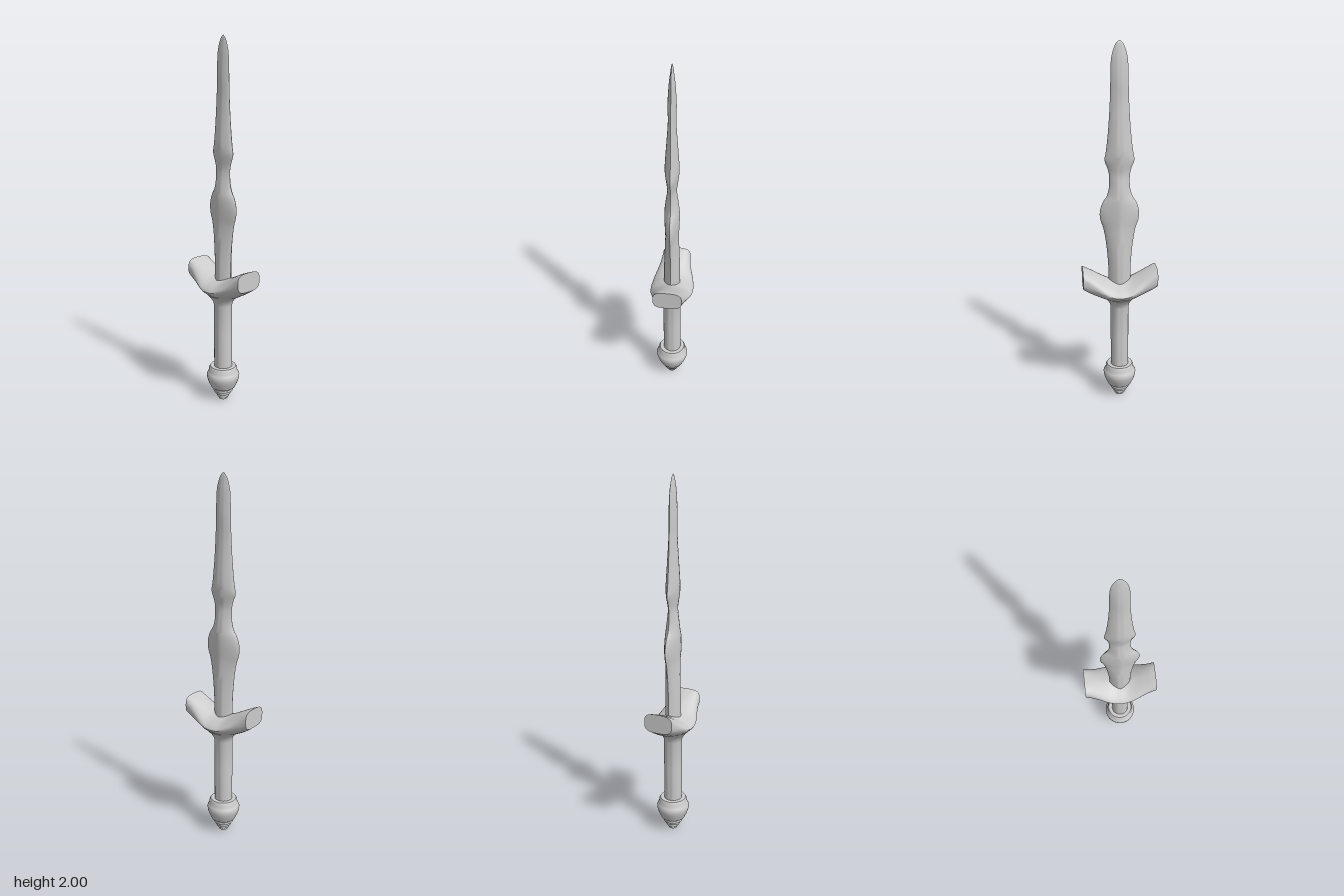
import * as THREE from 'three';
import { toCreasedNormals } from 'three/addons/utils/BufferGeometryUtils.js';

const material = new THREE.MeshStandardMaterial({ color: 0xcccccc, side: THREE.DoubleSide });

// Superellipse outline: p = 1 is a diamond, 2 an ellipse, larger is boxier
function outline(a, p) {
  const bend = (v) => Math.sign(v) * Math.pow(Math.abs(v), 2 / p);
  return [bend(Math.cos(a)), bend(Math.sin(a))];
}

// Skins equal-sized rings of points and closes both ends
function loft(rings, crease) {
  const n = rings[0].length, points = rings.flat(), index = [];
  for (let i = 0; i < rings.length - 1; i++) {
    for (let j = 0; j < n; j++) {
      const a = i * n + j, b = i * n + (j + 1) % n;
      index.push(a, a + n, b, b, a + n, b + n);
    }
  }
  for (const [k, flip] of [[0, false], [rings.length - 1, true]]) {
    const centre = rings[k].reduce((s, v) => s.add(v), new THREE.Vector3()).divideScalar(n);
    points.push(centre);
    for (let j = 0; j < n; j++) {
      const a = k * n + j, b = k * n + (j + 1) % n;
      index.push(points.length - 1, flip ? b : a, flip ? a : b);
    }
  }
  const g = new THREE.BufferGeometry().setFromPoints(points);
  g.setIndex(index);
  return toCreasedNormals(g, crease);
}

// Smoothly interpolates rows of numbers whose first column is the position
function sampleRows(rows, steps) {
  const out = [];
  for (let i = 0; i < rows.length - 1; i++) {
    for (let s = 0; s < steps; s++) {
      const t = s / steps;
      out.push(rows[i].map((p1, c) => {
        const p2 = rows[i + 1][c];
        const p0 = rows[Math.max(i - 1, 0)][c], p3 = rows[Math.min(i + 2, rows.length - 1)][c];
        return p1 + 0.5 * t * (p2 - p0 + t * (2 * p0 - 5 * p1 + 4 * p2 - p3 + t * (3 * (p1 - p2) + p3 - p0)));
      }));
    }
  }
  out.push(rows[rows.length - 1]);
  return out;
}

function lathe(profile) {
  const g = new THREE.LatheGeometry(profile.map(([r, y]) => new THREE.Vector2(r, y)), 32);
  return toCreasedNormals(g, 0.6);
}

function add(group, name, geometry) {
  const mesh = new THREE.Mesh(geometry, material);
  mesh.name = name;
  group.add(mesh);
}

// Waisted blade with a lens section: height, half width, half depth
function bladeGeometry() {
  const rows = sampleRows([
    [0.66, 0.06, 0.045], [0.80, 0.061, 0.045], [0.92, 0.07, 0.041], [1.02, 0.085, 0.037],
    [1.07, 0.101, 0.038], [1.12, 0.105, 0.04], [1.17, 0.09, 0.041], [1.21, 0.066, 0.039],
    [1.26, 0.055, 0.033], [1.32, 0.055, 0.025], [1.36, 0.064, 0.029], [1.40, 0.078, 0.034],
    [1.45, 0.07, 0.038], [1.56, 0.058, 0.031], [1.70, 0.049, 0.021], [1.80, 0.046, 0.022],
    [1.90, 0.043, 0.016], [1.95, 0.033, 0.01], [1.985, 0.018, 0.005], [2.0, 0.002, 0.001],
  ], 3);
  const n = 24;
  return loft(rows.map(([y, w, d]) => Array.from({ length: n }, (_, j) => {
    const [u, v] = outline(j / n * Math.PI * 2, 1.35);
    return new THREE.Vector3(u * w, y, v * d);
  })), 0.9);
}

// Upswept guard, lofted from side to side: x, bottom, top, half depth, section power
function guardGeometry() {
  const half = [
    [0, 0.60, 0.725, 0.12, 1.4], [0.04, 0.602, 0.728, 0.117, 1.4], [0.08, 0.617, 0.741, 0.109, 1.55],
    [0.13, 0.642, 0.766, 0.093, 1.9], [0.17, 0.666, 0.785, 0.083, 2.5], [0.203, 0.69, 0.797, 0.079, 3.2],
  ];
  const mirrored = half.slice(1).reverse().map(([x, ...rest]) => [-x, ...rest]);
  const n = 32;
  return loft(sampleRows([...mirrored, ...half], 3).map(([x, low, high, d, p]) =>
    Array.from({ length: n }, (_, j) => {
      const [u, v] = outline(j / n * Math.PI * 2, p);
      return new THREE.Vector3(x, (low + high) / 2 + u * (high - low) / 2, v * d);
    })), 0.9);
}

export function createModel() {
  const group = new THREE.Group();
  group.name = 'dagger';

  add(group, 'blade', bladeGeometry());
  add(group, 'guard', guardGeometry());

  // Round grip flaring into the underside of the guard
  add(group, 'grip', lathe([
    [0, 0.18], [0.05, 0.18], [0.05, 0.4], [0.05, 0.565], [0.055, 0.585],
    [0.068, 0.605], [0.09, 0.63], [0.09, 0.645], [0, 0.65],
  ]));

  // Bulbous pommel
  add(group, 'pommel', lathe([
    [0, 0.075], [0.068, 0.075], [0.072, 0.085], [0.082, 0.105], [0.09, 0.13], [0.092, 0.15],
    [0.086, 0.163], [0.08, 0.172], [0.079, 0.19], [0.072, 0.202], [0, 0.202],
  ]));

  // Stepped finial at the very end
  add(group, 'finial', lathe([
    [0, 0], [0.024, 0], [0.027, 0.014], [0.034, 0.016], [0.036, 0.032], [0.044, 0.034],
    [0.046, 0.05], [0.055, 0.052], [0.056, 0.066], [0.045, 0.068], [0.045, 0.08], [0, 0.08],
  ]));
  return group;
}
